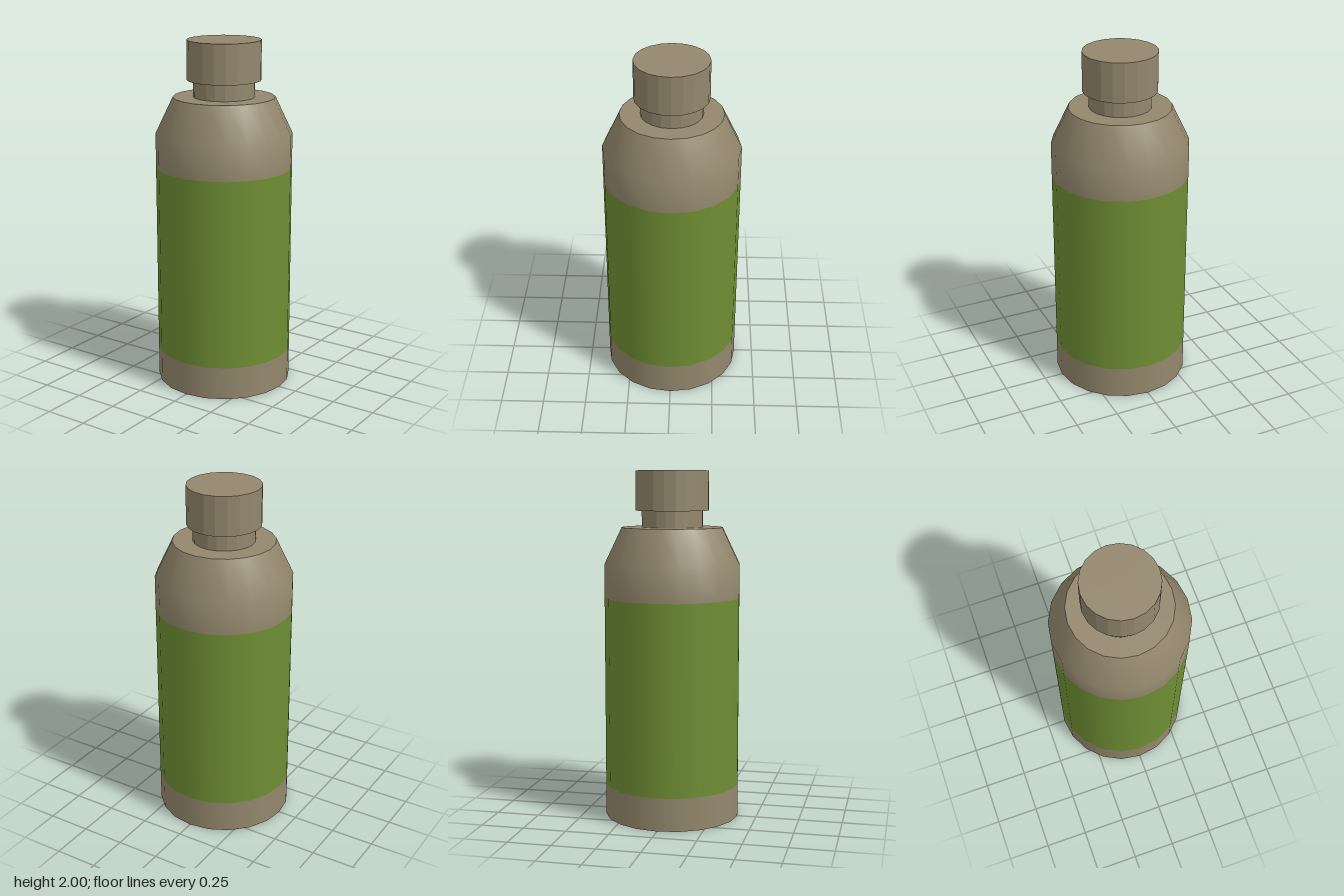
import * as THREE from 'three';

const SIDES = 20;
const RADIUS = 0.39;

export function createModel() {
  const bottle = new THREE.Group();
  bottle.name = 'bottle';

  const shell = new THREE.MeshStandardMaterial({ name: 'taupe', color: 0x94886d });
  const band = new THREE.MeshStandardMaterial({ name: 'leaf green', color: 0x6e8e33 });
  // faceted variant of the same taupe for the small turned parts
  const faceted = new THREE.MeshStandardMaterial({ name: 'taupe faceted', color: 0x94886d, flatShading: true });

  const add = (name, geometry, material) => {
    const mesh = new THREE.Mesh(geometry, material);
    mesh.name = name;
    bottle.add(mesh);
    return mesh;
  };
  const lathe = (...points) =>
    new THREE.LatheGeometry(points.map(([r, y]) => new THREE.Vector2(r, y)), SIDES);
  const disc = (r, y, up) =>
    new THREE.CircleGeometry(r, SIDES).rotateX(up ? -Math.PI / 2 : Math.PI / 2).translate(0, y, 0);
  const cylinder = (r, y0, y1) =>
    new THREE.CylinderGeometry(r, r, y1 - y0, SIDES).translate(0, (y0 + y1) / 2, 0);

  // Body: base, coloured band and sloping shoulder
  add('base', lathe([RADIUS, 0], [RADIUS, 0.19]), shell);
  add('baseUnderside', disc(RADIUS, 0, false), shell);
  add('labelBand', lathe([RADIUS, 0.19], [RADIUS, 1.28]), band);
  add('shoulder', lathe([RADIUS, 1.28], [RADIUS, 1.47], [0.29, 1.68]), shell);
  add('shoulderTop', disc(0.29, 1.68, true), shell);

  // Neck and screw cap
  add('neck', cylinder(0.175, 1.675, 1.78), faceted);
  add('cap', cylinder(0.21, 1.775, 2), faceted);

  return bottle;
}
